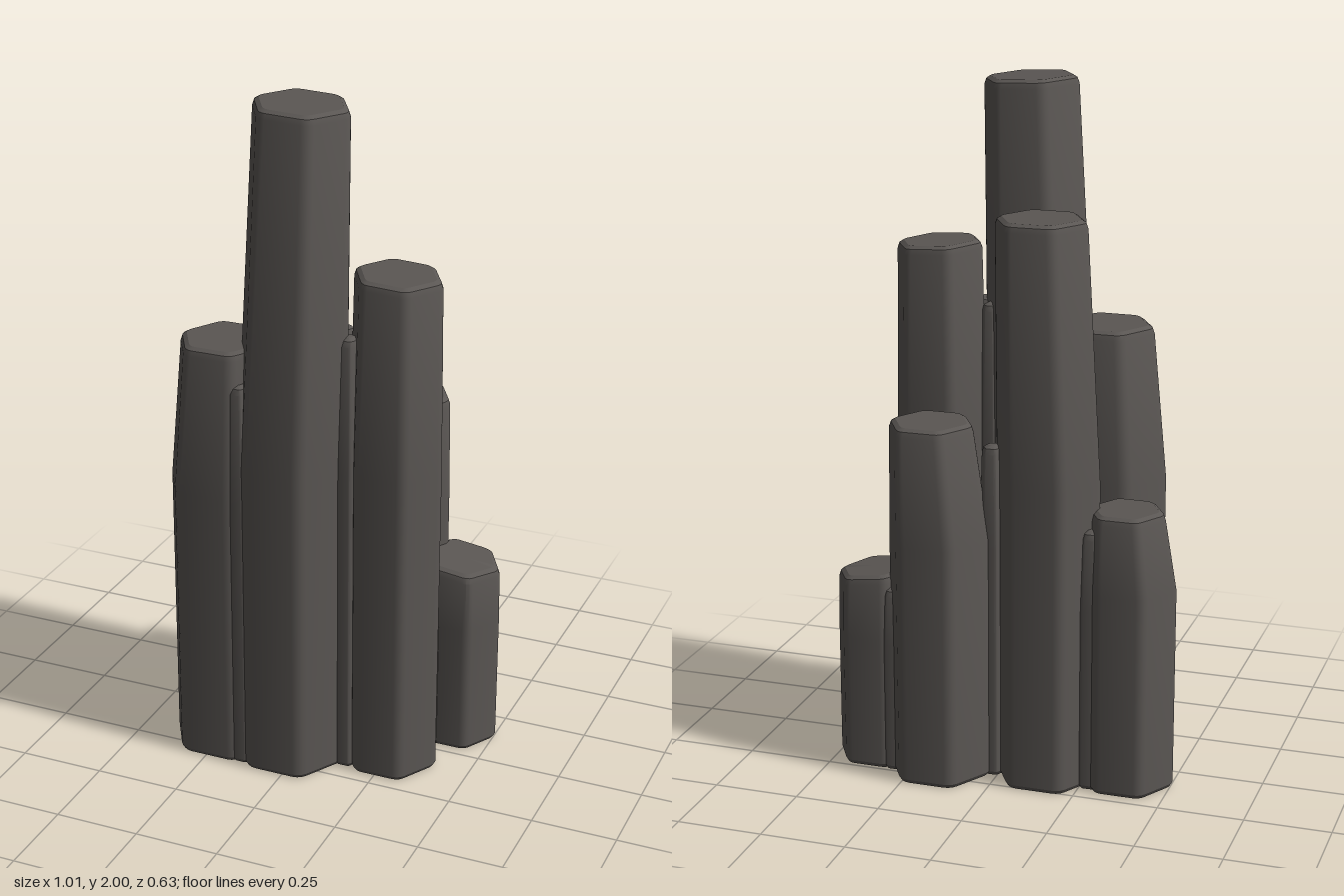
import * as THREE from 'three';
import { toCreasedNormals } from 'three/addons/utils/BufferGeometryUtils.js';

const ARC = 3; // segments on each rounded vertical edge

// Hexagon with rounded corners, one corner pointing along +x
function hexRing(cx, cz, r, yAt) {
  const f = r * 0.25, d = r - f / Math.cos(Math.PI / 6), pts = [];
  for (let k = 0; k < 6; k++) {
    const a = k * Math.PI / 3;
    for (let j = 0; j <= ARC; j++) {
      const b = a + (j / ARC - 0.5) * Math.PI / 3;
      const x = cx + d * Math.cos(a) + f * Math.cos(b);
      const z = cz + d * Math.sin(a) + f * Math.sin(b);
      pts.push([x, yAt(x), z]);
    }
  }
  return pts;
}

// Loft a column: straight to the knee, leaning and tapering above it, bevelled at both ends
function columnGeometry({ base, top, knee, height, tilt = 0 }) {
  const [bx, bz, br] = base, [tx, tz, tr] = top;
  const level = y => () => y;
  const sloped = y => x => y - tilt * (x - tx);
  const rings = [
    hexRing(bx, bz, br - 0.008, level(0)),
    hexRing(bx, bz, br, level(0.012)),
    hexRing(bx, bz, br, level(knee)),
    hexRing(tx, tz, tr, sloped(height - 0.024)),
    hexRing(tx, tz, tr - 0.006, sloped(height - 0.008)),
    hexRing(tx, tz, tr - 0.02, sloped(height)),
  ];
  const n = rings[0].length, pos = rings.flat(2), idx = [];
  for (let s = 0; s < rings.length - 1; s++) {
    for (let i = 0; i < n; i++) {
      const j = (i + 1) % n, a = s * n + i, a1 = s * n + j, b = a + n, b1 = a1 + n;
      idx.push(a, b, a1, a1, b, b1);
    }
  }
  const bottom = pos.length / 3, cap = bottom + 1, last = (rings.length - 1) * n;
  pos.push(bx, 0, bz, tx, height, tz);
  for (let i = 0; i < n; i++) {
    const j = (i + 1) % n;
    idx.push(bottom, i, j, cap, last + j, last + i);
  }
  const g = new THREE.BufferGeometry();
  g.setAttribute('position', new THREE.Float32BufferAttribute(pos, 3));
  g.setIndex(idx);
  return toCreasedNormals(g, 0.5);
}

// Columns: base and top are [x, z, radius]
const COLUMNS = {
  tallestColumn: { base: [-0.025, 0.165, 0.172], top: [0.01, 0.168, 0.145], knee: 0.95, height: 1.995, tilt: 0.04 },
  frontLeftColumn: { base: [-0.24, 0.155, 0.17], top: [-0.222, 0.17, 0.142], knee: 0.85, height: 1.295 },
  outerShortColumn: { base: [-0.37, -0.098, 0.14], top: [-0.358, -0.1, 0.117], knee: 0.6, height: 0.83 },
  backColumn: { base: [-0.135, -0.125, 0.157], top: [-0.112, -0.125, 0.138], knee: 0.9, height: 1.65 },
  backSideColumn: { base: [0.172, -0.185, 0.156], top: [0.195, -0.18, 0.13], knee: 0.72, height: 1.06 },
  frontSideColumn: { base: [0.258, 0.087, 0.143], top: [0.26, 0.085, 0.133], knee: 0.95, height: 1.523, tilt: 0.05 },
  outerLowColumn: { base: [0.384, -0.135, 0.125], top: [0.384, -0.13, 0.124], knee: 0.4, height: 0.588, tilt: 0.13 },
};

// Slim webs filling the clefts between neighbours: [x, z, radius, height]
const WEBS = [
  [0.02, -0.155, 0.042, 1.0],
  [0.225, -0.045, 0.05, 1.0],
  [0.325, -0.04, 0.04, 0.57],
  [0.305, -0.215, 0.035, 0.56],
  [0.145, 0.16, 0.042, 1.35],
  [0.105, 0.085, 0.035, 1.35],
  [-0.07, 0.01, 0.045, 1.45],
  [-0.16, 0.01, 0.045, 1.2],
  [-0.345, 0.005, 0.045, 0.78],
  [-0.275, -0.165, 0.04, 0.78],
  [-0.14, 0.262, 0.04, 1.2],
];

export function createModel() {
  const stone = new THREE.MeshStandardMaterial({ color: 0x5a5653 });
  stone.name = 'dark basalt';
  const model = new THREE.Group();
  model.name = 'basaltColumns';
  const add = (name, spec) => {
    const mesh = new THREE.Mesh(columnGeometry(spec), stone);
    mesh.name = name;
    model.add(mesh);
  };
  for (const [name, spec] of Object.entries(COLUMNS)) add(name, spec);
  WEBS.forEach(([x, z, r, height], i) =>
    add(`cleftWeb${i + 1}`, { base: [x, z, r], top: [x, z, r * 0.8], knee: height * 0.7, height }));
  return model;
}
